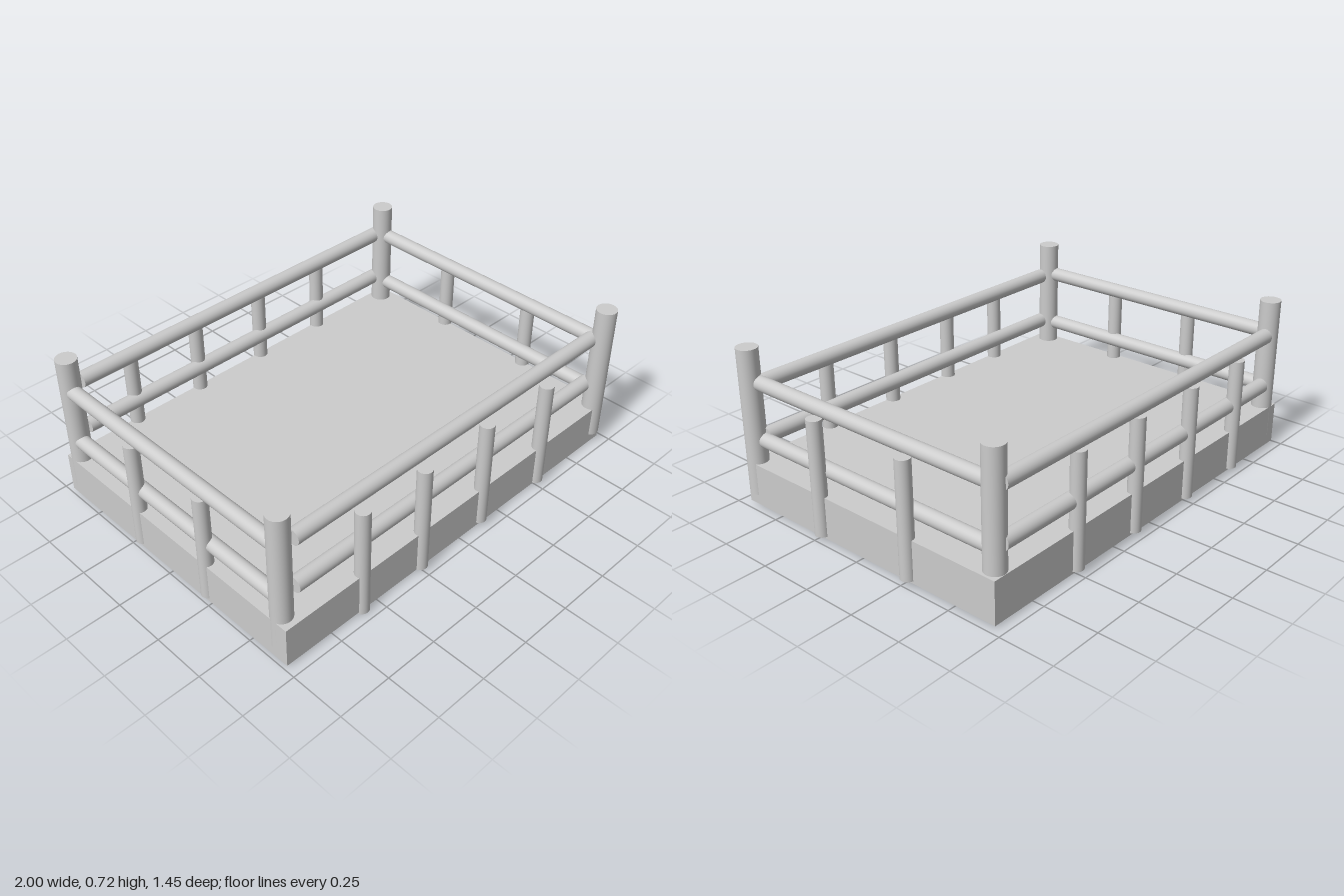
import * as THREE from 'three';

export function createModel() {
  const group = new THREE.Group();
  const material = new THREE.MeshStandardMaterial({ color: 0xcccccc });

  function add(name, geometry, x, y, z) {
    const mesh = new THREE.Mesh(geometry, material);
    mesh.name = name;
    mesh.position.set(x, y, z);
    group.add(mesh);
    return mesh;
  }

  // Upright round pole between two heights
  function pole(name, x, z, bottom, top, radius) {
    const geometry = new THREE.CylinderGeometry(radius, radius, top - bottom, 32);
    return add(name, geometry, x, (bottom + top) / 2, z);
  }

  // Horizontal round rail along x or z
  function rail(name, axis, from, to, offset, y, radius) {
    const geometry = new THREE.CylinderGeometry(radius, radius, to - from, 32);
    const mid = (from + to) / 2;
    if (axis === 'x') {
      geometry.rotateZ(Math.PI / 2);
      return add(name, geometry, mid, y, offset);
    }
    geometry.rotateX(Math.PI / 2);
    return add(name, geometry, offset, y, mid);
  }

  // Solid floor slab
  add('floorSlab', new THREE.BoxGeometry(1.957, 0.19, 1.405), -0.008, 0.105, -0.003);

  // Corner posts, slightly uneven
  pole('frontLeftPost', 0.934, 0.67, 0.055, 0.715, 0.047);
  pole('frontRightPost', -0.942, 0.628, 0.055, 0.715, 0.047);
  pole('backLeftPost', 0.913, -0.657, 0.055, 0.715, 0.047);
  pole('backRightPost', -0.942, -0.659, 0.055, 0.715, 0.047);

  // Upper and lower rails on each side
  [['upper', 0.559, 0.561], ['lower', 0.317, 0.3]].forEach(([level, longY, sideY]) => {
    rail(level + 'FrontRail', 'x', -0.88, 0.91, 0.632, longY, 0.035);
    rail(level + 'BackRail', 'x', -0.88, 0.905, -0.68, longY + 0.004, 0.035);
    rail(level + 'LeftRail', 'z', -0.63, 0.63, 0.918, sideY, 0.033);
    rail(level + 'RightRail', 'z', -0.63, 0.62, -0.948, sideY, 0.033);
  });

  // Balusters fixed to the outside of the slab: x, z, bottom, top
  const balusters = {
    front: [[-0.575, 0.685, 0, 0.527], [-0.24, 0.69, 0.01, 0.53],
      [0.133, 0.688, 0.025, 0.54], [0.518, 0.69, 0.015, 0.535]],
    back: [-0.617, -0.257, 0.117, 0.492].map((x) => [x, -0.698, 0.02, 0.537]),
    left: [-0.257, 0.236].map((z) => [0.966, z, 0.022, 0.54]),
    right: [-0.215, 0.215].map((z) => [-0.967, z, 0.025, 0.54]),
  };
  for (const [side, list] of Object.entries(balusters)) {
    list.forEach(([x, z, bottom, top], i) => pole(`${side}Baluster${i + 1}`, x, z, bottom, top, 0.033));
  }

  return group;
}
